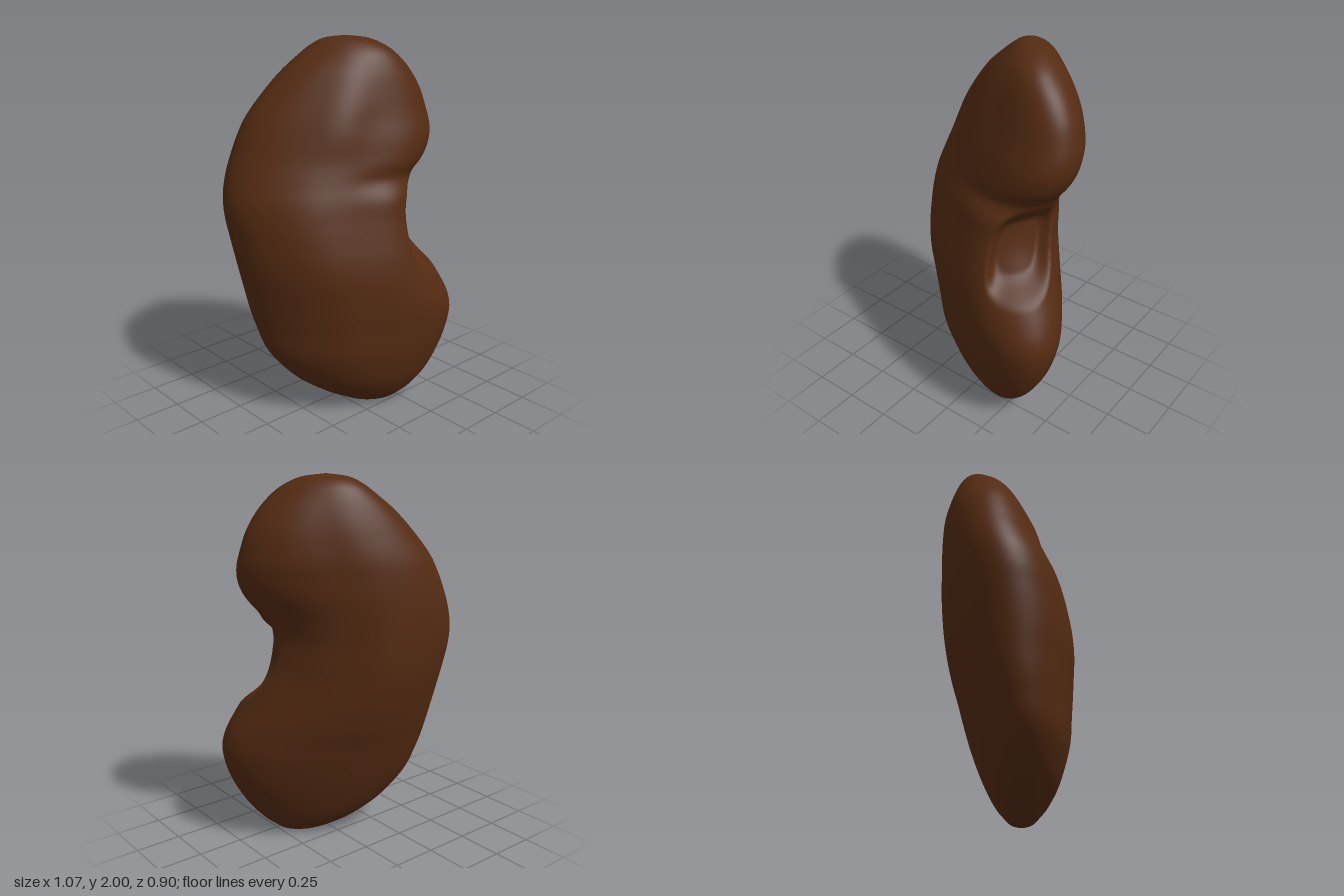
import * as THREE from 'three';

// Horizontal sections: y, x min, x max, z min, z max, skew of the ellipse
const sections = [
  [0.00, 0.14, 0.14, 0.17, 0.17, 0.5],
  [0.012, 0.03, 0.23, 0.09, 0.24, 0.5],
  [0.05, -0.06, 0.285, 0.02, 0.285, 0.52],
  [0.10, -0.15, 0.34, -0.045, 0.33, 0.53],
  [0.20, -0.28, 0.42, -0.13, 0.385, 0.54],
  [0.35, -0.395, 0.505, -0.215, 0.425, 0.54],
  [0.50, -0.44, 0.555, -0.275, 0.442, 0.53],
  [0.60, -0.463, 0.565, -0.31, 0.443, 0.5],
  [0.70, -0.48, 0.56, -0.345, 0.43, 0.45],
  [0.80, -0.497, 0.55, -0.375, 0.412, 0.41],
  [0.90, -0.51, 0.545, -0.40, 0.39, 0.4],
  [1.00, -0.52, 0.535, -0.42, 0.363, 0.41],
  [1.10, -0.528, 0.53, -0.435, 0.338, 0.43],
  [1.20, -0.52, 0.52, -0.444, 0.32, 0.46],
  [1.30, -0.49, 0.505, -0.446, 0.295, 0.49],
  [1.40, -0.45, 0.505, -0.44, 0.272, 0.51],
  [1.50, -0.407, 0.505, -0.427, 0.255, 0.52],
  [1.60, -0.355, 0.505, -0.405, 0.233, 0.52],
  [1.72, -0.265, 0.483, -0.36, 0.21, 0.52],
  [1.82, -0.175, 0.43, -0.315, 0.18, 0.51],
  [1.90, -0.08, 0.36, -0.27, 0.14, 0.5],
  [1.95, -0.015, 0.30, -0.23, 0.09, 0.5],
  [1.985, 0.045, 0.23, -0.17, 0.02, 0.5],
  [2.00, 0.13, 0.13, -0.07, -0.07, 0.5],
];

// Soft swellings and dents: angle from +x toward +z, y, spread in y, amount
const swellings = [
  [35, 1.48, 0.17, 0.04], // upper lobe
  [35, 0.60, 0.20, 0.02], // lower lobe
  [60, 1.29, 0.06, -0.035], // neck above the pocket
  [150, 1.00, 0.35, 0.025], // outer front face
  [150, 0.45, 0.20, 0.015],
  [125, 1.60, 0.22, 0.03],
  [-45, 1.60, 0.25, -0.015], // inner back face
  [-25, 1.15, 0.20, 0.025],
];

const rad = THREE.MathUtils.degToRad;

function swelling(angle, y) {
  return swellings.reduce((sum, [a, level, spread, amount]) =>
    sum + amount * Math.max(0, Math.cos(angle - rad(a))) ** 6
      * Math.exp(-(((y - level) / spread) ** 2)), 0);
}

// How far the waist draws the inner side toward the middle
function waist(x, y) {
  const spread = y < 1.13 ? 0.46 : 0.25;
  const amount = 0.165 * Math.exp(-(((y - 1.13) / spread) ** 2));
  return amount * THREE.MathUtils.smoothstep(x, -0.1, 0.5);
}

// Depth of the pocket at an angle and height
function pocket(angle, y) {
  const a = Math.abs((angle - rad(40 - 18 * (y - 1.025))) / rad(25));
  const h = Math.abs((y - 1.025) / 0.25);
  return 0.1 * (1 - THREE.MathUtils.smoothstep(Math.cbrt(a ** 3 + h ** 3), 0.5, 1.03));
}

function bodyGeometry() {
  const curve = (pick) => new THREE.CatmullRomCurve3(
    sections.map((s) => new THREE.Vector3(...pick.map((k) => s[k]))), false, 'catmullrom', 0.5);
  const heights = curve([0, 1, 2]), depths = curve([3, 4, 5]);
  const rows = (sections.length - 1) * 7, cols = 160;
  const positions = [], index = [];

  for (let i = 0; i <= rows; i++) {
    const { x: y, y: x0, z: x1 } = heights.getPoint(i / rows);
    const { x: z0, y: z1, z: skew } = depths.getPoint(i / rows);
    const cx = (x0 + x1) / 2, cz = (z0 + z1) / 2;
    const lag = Math.acos(skew);
    for (let j = 0; j < cols; j++) {
      // A slanted ellipse that fills the section's box, then waist, swellings and pocket
      const t = (j / cols) * Math.PI * 2;
      let x = cx + (x1 - x0) / 2 * Math.cos(t);
      const z = cz + (z1 - z0) / 2 * Math.cos(t - lag);
      x -= waist(x, y);
      const angle = Math.atan2(z - cz, x - cx);
      const out = swelling(angle, y), depth = pocket(angle, y);
      positions.push(
        x + out * Math.cos(angle) - depth * 0.8, y,
        z + out * Math.sin(angle) - depth * 0.6);
      if (i < rows) {
        const a = i * cols + j, b = i * cols + (j + 1) % cols;
        index.push(a, a + cols, b, b, a + cols, b + cols);
      }
    }
  }
  const geometry = new THREE.BufferGeometry();
  geometry.setAttribute('position', new THREE.Float32BufferAttribute(positions, 3));
  geometry.setIndex(index);
  geometry.computeVertexNormals();
  return geometry;
}

export function createModel() {
  const group = new THREE.Group();
  group.name = 'kidney';
  // Bean-shaped body with the hollow on its inner side
  const body = new THREE.Mesh(bodyGeometry(), new THREE.MeshStandardMaterial({ color: 0x542b12 }));
  body.name = 'kidneyBody';
  group.add(body);
  return group;
}
